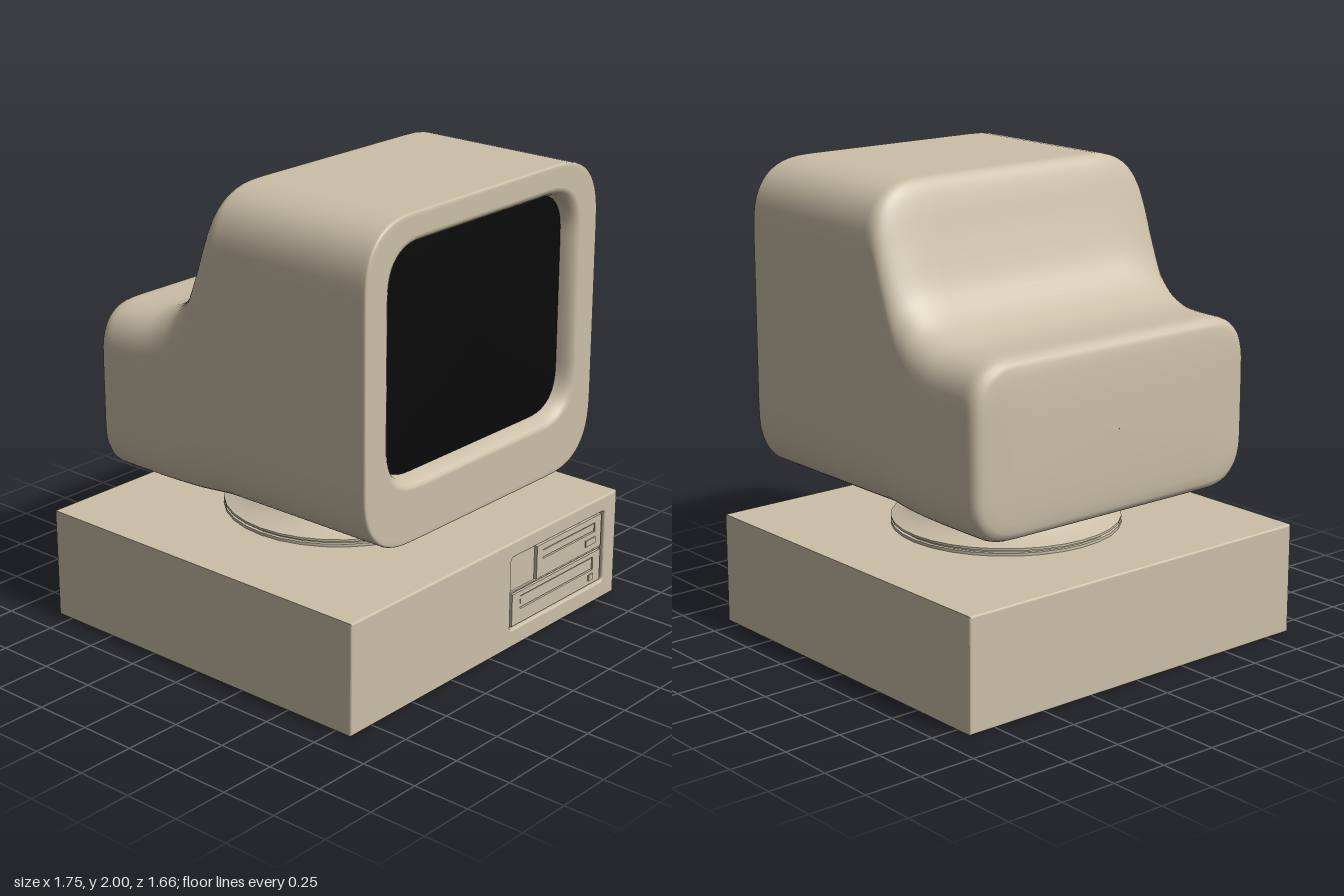
import * as THREE from 'three';
import { RoundedBoxGeometry } from 'three/addons/geometries/RoundedBoxGeometry.js';

const beige = new THREE.MeshStandardMaterial({ color: 0xccbfa8 });
const black = new THREE.MeshStandardMaterial({ color: 0x0a0a0a });

// Soft-cornered rectangle at depth z, counter-clockwise seen from the front
function ring(w, y0, y1, r, z) {
  const pts = [], n = 12, e = 2 / 2.7;
  const cy = (y0 + y1) / 2, h = (y1 - y0) / 2;
  for (let q = 0; q < 4; q++) {
    const sx = q === 0 || q === 3 ? 1 : -1, sy = q < 2 ? 1 : -1;
    for (let i = 0; i <= n; i++) {
      const a = (q % 2 ? n - i : i) / n * Math.PI / 2;
      pts.push([
        sx * (w - r + r * Math.pow(Math.max(Math.cos(a), 0), e)),
        cy + sy * (h - r + r * Math.pow(Math.max(Math.sin(a), 0), e)), z]);
    }
  }
  return pts;
}

// Smooth skin through a list of rings
function loft(rings) {
  const n = rings[0].length, index = [];
  for (let i = 0; i < rings.length - 1; i++) {
    for (let j = 0; j < n; j++) {
      const a = i * n + j, b = i * n + (j + 1) % n;
      index.push(a, a + n, b, b, a + n, b + n);
    }
  }
  const g = new THREE.BufferGeometry();
  g.setAttribute('position', new THREE.Float32BufferAttribute(rings.flat(2), 3));
  g.setIndex(index);
  g.computeVertexNormals();
  return g;
}

function rect(Type, x0, y0, x1, y1, r = 0) {
  const s = new Type();
  if (!r) {
    s.moveTo(x0, y0).lineTo(x1, y0).lineTo(x1, y1).lineTo(x0, y1).closePath();
    return s;
  }
  s.absarc(x1 - r, y0 + r, r, -Math.PI / 2, 0);
  s.absarc(x1 - r, y1 - r, r, 0, Math.PI / 2);
  s.absarc(x0 + r, y1 - r, r, Math.PI / 2, Math.PI);
  s.absarc(x0 + r, y0 + r, r, Math.PI, Math.PI * 1.5);
  s.closePath();
  return s;
}

function add(parent, name, geometry, material = beige) {
  const m = new THREE.Mesh(geometry, material);
  m.name = name;
  parent.add(m);
  return m;
}

function box(parent, name, x0, y0, x1, y1, z0, z1) {
  const m = add(parent, name, new THREE.BoxGeometry(x1 - x0, y1 - y0, z1 - z0));
  m.position.set((x0 + x1) / 2, (y0 + y1) / 2, (z0 + z1) / 2);
}

function monitor() {
  const g = new THREE.Group();
  g.name = 'monitor';
  const opening = (d, z) => ring(0.572 + d, 0.922 - d, 1.865 + d, 0.2 + d * 0.8, z);
  const shell = (top, inset, z) => {
    const r = 0.3 * Math.sqrt((top - 0.66) / 1.34);
    return ring(0.73 - inset, 0.66 + inset, top - inset, Math.max(r - inset * 0.6, 0.02), z);
  };

  // Recess wall, bezel face and the straight front part of the housing
  const rings = [
    opening(0, 0.70), opening(0.004, 0.72), opening(0.012, 0.745), opening(0.024, 0.762), opening(0.036, 0.769), opening(0.045, 0.77),
    shell(2, 0.02, 0.77), shell(2, 0.008, 0.77), shell(2, 0.002, 0.767), shell(2, 0, 0.76),
    shell(2, 0, 0.74), shell(2, 0, 0.4), shell(2, 0, 0.05)];

  // Top line sweeping down to the low rear
  const slope = new THREE.SplineCurve([
    [0.02, 2], [-0.015, 1.995], [-0.045, 1.965], [-0.075, 1.895], [-0.12, 1.755], [-0.18, 1.595],
    [-0.235, 1.515], [-0.3, 1.455], [-0.39, 1.413], [-0.48, 1.399], [-0.6, 1.396]
  ].map(p => new THREE.Vector2(...p)));
  for (const p of slope.getPoints(40)) rings.push(shell(p.y, 0, p.x));

  // Softly rounded back
  for (const [inset, z] of [[0, -0.625], [0.003, -0.645], [0.01, -0.662], [0.022, -0.675],
    [0.04, -0.683], [0.08, -0.688], [0.15, -0.693], [0.25, -0.696]]) {
    rings.push(shell(1.395, inset, z));
  }
  rings.push(ring(0.001, 1.027, 1.029, 0.0005, -0.697));
  add(g, 'housing', loft(rings));

  // Slightly domed glass
  const glass = [0.002, 0.3, 0.6, 0.85, 1.01].map(s =>
    ring(0.572 * s, 1.3935 - 0.4715 * s, 1.3935 + 0.4715 * s, 0.2 * s, 0.72 - 0.02 * s * s));
  add(g, 'screen', loft(glass), black);
  return g;
}

function pedestal() {
  const flare = new THREE.SplineCurve([[0.49, 0.512], [0.43, 0.535], [0.37, 0.572], [0.32, 0.615], [0.28, 0.66], [0.26, 0.7]]
    .map(p => new THREE.Vector2(...p)));
  const g = new THREE.Group();
  g.name = 'pedestal';
  add(g, 'swivelNeck', new THREE.LatheGeometry(flare.getPoints(20), 32));
  for (const [r, y, h] of [[0.49, 0.507, 0.01], [0.475, 0.497, 0.014], [0.49, 0.485, 0.014]]) {
    add(g, 'swivelDisc', new THREE.CylinderGeometry(r, r, h, 32)).position.y = y;
  }
  return g;
}

// Drive front with a recessed slot and an eject button
function drive(name, [x0, y0, x1, y1], slot, button) {
  const g = new THREE.Group();
  g.name = name;
  const face = rect(THREE.Shape, x0, y0, x1, y1);
  face.holes.push(rect(THREE.Path, ...slot));
  add(g, 'driveFace', new THREE.ExtrudeGeometry(face, { depth: 0.015, bevelEnabled: false })).position.z = 0.808;
  const [a, b, c, d] = slot, m = 0.005;
  box(g, 'driveSlot', a + m, b + m, c - m, d - m, 0.805, 0.82);
  box(g, 'ejectButton', ...button, 0.815, 0.829);
  return g;
}

function computerCase() {
  const g = new THREE.Group();
  g.name = 'computerCase';
  const b = 0.008;
  const outline = rect(THREE.Shape, -0.875 + b, b, 0.875 - b, 0.48 - b);
  outline.holes.push(rect(THREE.Path, 0.13 - b, 0.08 - b, 0.79 + b, 0.41 + b, 0.025));
  const body = new THREE.ExtrudeGeometry(outline, {
    depth: 1.66 - 2 * b, bevelSize: b, bevelThickness: b, bevelSegments: 3, curveSegments: 6 });
  add(g, 'caseBody', body).position.z = -0.83 + b;
  // Core closes the bay opening behind its floor
  box(g, 'bayFloor', 0.13 - 2 * b, 0.08 - 2 * b, 0.79 + 2 * b, 0.41 + 2 * b, -0.83, 0.808);
  g.add(drive('upperDrive', [0.315, 0.25, 0.775, 0.4], [0.355, 0.33, 0.73, 0.372], [0.66, 0.28, 0.73, 0.308]));
  g.add(drive('lowerDrive', [0.15, 0.09, 0.775, 0.235], [0.205, 0.153, 0.722, 0.213], [0.69, 0.11, 0.72, 0.138]));
  const trim = add(g, 'bayDivider', new RoundedBoxGeometry(0.64, 0.008, 0.012, 2, 0.003));
  trim.position.set(0.46, 0.2425, 0.812);
  return g;
}

export function createModel() {
  const model = new THREE.Group();
  model.name = 'desktopComputer';
  model.add(computerCase(), pedestal(), monitor());
  return model;
}
